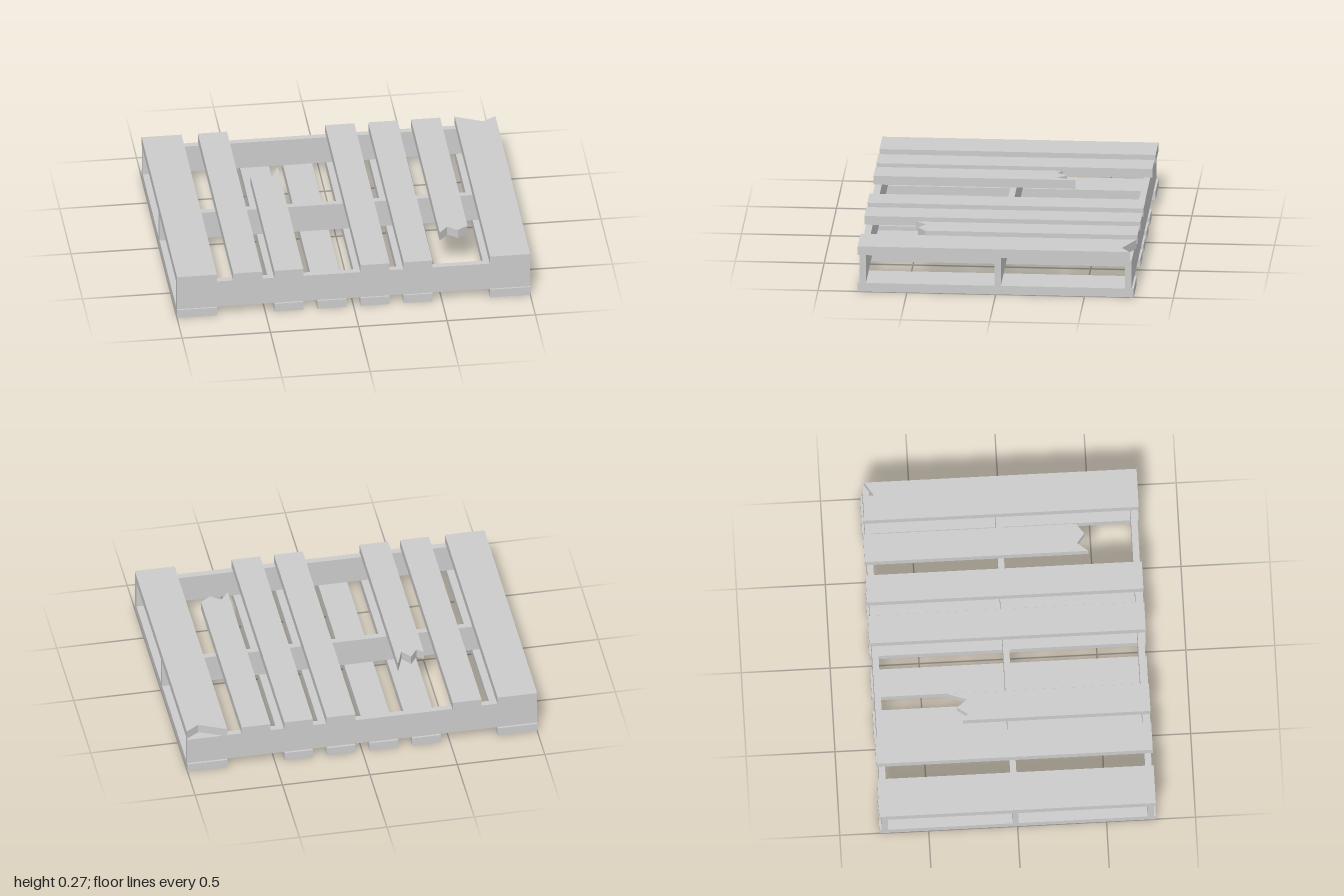
import * as THREE from 'three';

const BOARD = 0.051;    // board thickness
const DECK_Y = 0.215;   // underside of the top deck
const END = 0.777;      // board ends in z

export function createModel() {
  const group = new THREE.Group();
  const material = new THREE.MeshStandardMaterial({ color: 0xcccccc, flatShading: true });

  function box(name, x0, x1, y0, y1, z0, z1) {
    const mesh = new THREE.Mesh(new THREE.BoxGeometry(x1 - x0, y1 - y0, z1 - z0), material);
    mesh.position.set((x0 + x1) / 2, (y0 + y1) / 2, (z0 + z1) / 2);
    mesh.name = name;
    group.add(mesh);
  }

  // Top board with a jagged edge, outlined in [x, z] and extruded upwards
  function brokenBoard(name, outline) {
    const shape = new THREE.Shape(outline.map(([x, z]) => new THREE.Vector2(x, -z)));
    const geometry = new THREE.ExtrudeGeometry(shape, { depth: BOARD, bevelEnabled: false });
    geometry.rotateX(-Math.PI / 2);
    const mesh = new THREE.Mesh(geometry, material);
    mesh.position.y = DECK_Y;
    mesh.name = name;
    group.add(mesh);
  }

  // Three stringers running across the pallet
  const stringers = { frontStringer: [0.73, 0.767], middleStringer: [-0.029, 0.006], backStringer: [-0.765, -0.729] };
  for (const [name, [z0, z1]] of Object.entries(stringers)) box(name, -1, 1, BOARD, DECK_Y, z0, z1);

  // Bottom boards, with gaps where two are missing
  const bottom = [[-1, -0.774], [-0.449, -0.285], [-0.206, -0.041], [0.039, 0.204], [0.283, 0.446], [0.772, 1]];
  bottom.forEach(([x0, x1], i) => box(`bottomBoard${i + 1}`, x0, x1, 0, BOARD, -END, END));

  // Whole top boards
  const top = [[-1, -0.774], [-0.682, -0.517], [0.039, 0.204], [0.283, 0.446]];
  top.forEach(([x0, x1], i) => box(`topBoard${i + 1}`, x0, x1, DECK_Y, DECK_Y + BOARD, -END, END));

  // Board snapped off towards the back
  brokenBoard('brokenBoardRight', [
    [-0.449, END], [-0.285, END], [-0.285, -0.36], [-0.325, -0.25],
    [-0.37, -0.307], [-0.412, -0.248], [-0.449, -0.277],
  ]);

  // Board snapped off towards the front
  brokenBoard('brokenBoardLeft', [
    [0.525, -END], [0.525, 0.48], [0.575, 0.42], [0.63, 0.463], [0.69, 0.42], [0.69, -END],
  ]);

  // Edge board with a splintered back corner
  brokenBoard('splinteredEdgeBoard', [
    [0.772, END], [1, END], [1, -0.755], [0.925, -0.706], [0.772, -END],
  ]);

  return group;
}
